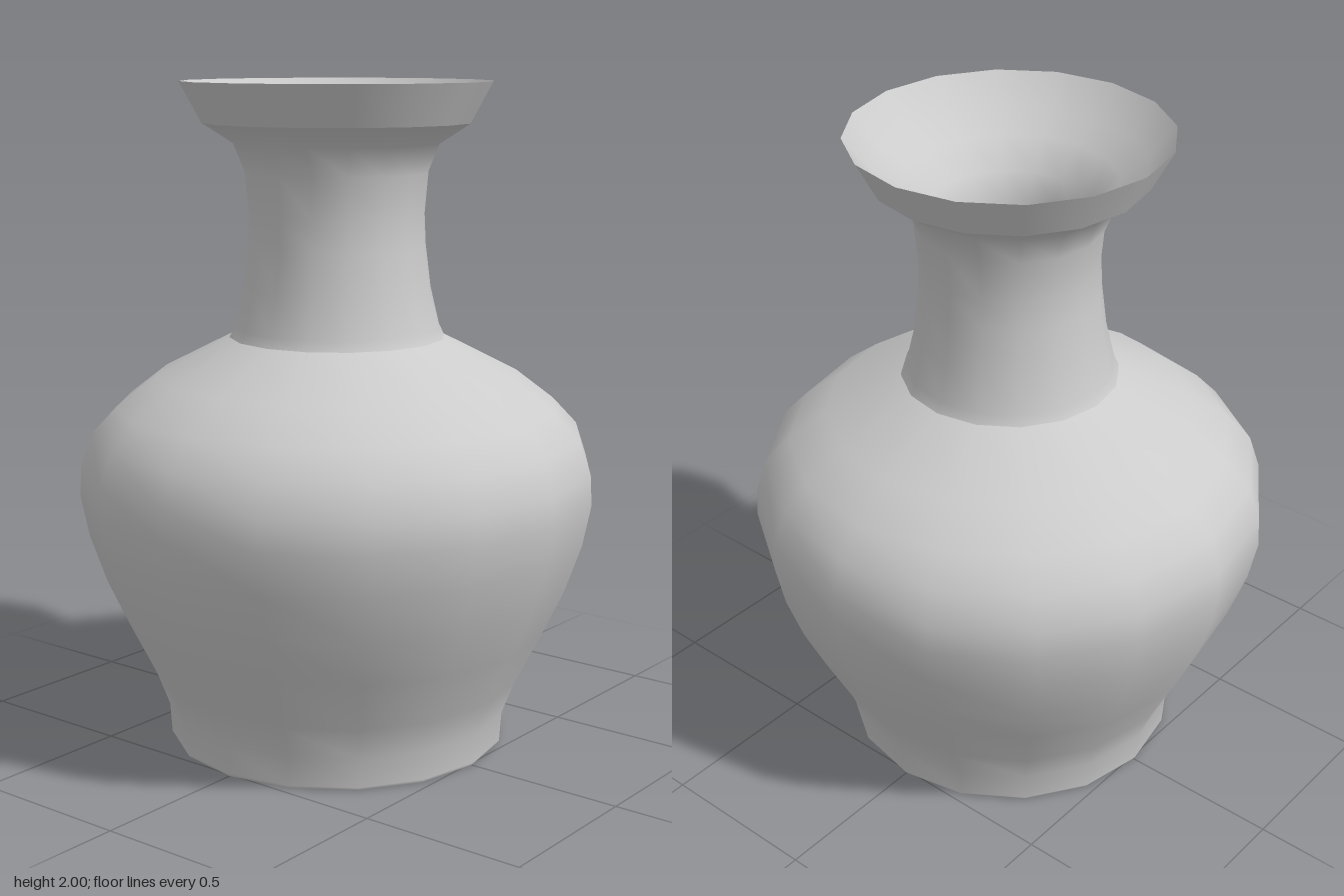
import * as THREE from 'three';

const SIDES = 16;

// Each section is its own lathe, so edges between sections stay crisp.
// Profiles are [radius, height], running up the outside and down the inside.
const sections = {
  base: [[0, 0], [0.51, 0]],
  body: [
    [0.51, 0], [0.516, 0.01], [0.522, 0.1], [0.56, 0.2], [0.64, 0.36], [0.705, 0.5],
    [0.755, 0.645], [0.78, 0.77], [0.775, 0.86], [0.742, 0.96],
    [0.667, 1.04], [0.55, 1.13], [0.325, 1.245],
  ],
  neck: [
    [0.325, 1.245], [0.31, 1.275], [0.283, 1.39], [0.267, 1.52],
    [0.263, 1.61], [0.274, 1.735], [0.308, 1.82], [0.4, 1.88],
  ],
  lip: [[0.4, 1.88], [0.465, 2]],
  innerNeck: [
    [0.465, 2], [0.39, 1.91], [0.31, 1.86], [0.23, 1.78],
    [0.2, 1.7], [0.19, 1.58], [0.2, 1.42], [0.235, 1.25],
  ],
  innerBody: [
    [0.235, 1.25], [0.5, 1.07], [0.63, 0.97], [0.7, 0.84], [0.7, 0.75],
    [0.63, 0.5], [0.49, 0.22], [0.45, 0.08],
  ],
  innerFloor: [[0.45, 0.08], [0, 0.08]],
};

export function createModel() {
  const vase = new THREE.Group();
  vase.name = 'vase';
  const material = new THREE.MeshStandardMaterial({ color: 0xcccccc });
  for (const [name, profile] of Object.entries(sections)) {
    const points = profile.map(([r, y]) => new THREE.Vector2(r, y));
    const mesh = new THREE.Mesh(new THREE.LatheGeometry(points, SIDES), material);
    mesh.name = name;
    vase.add(mesh);
  }
  return vase;
}
